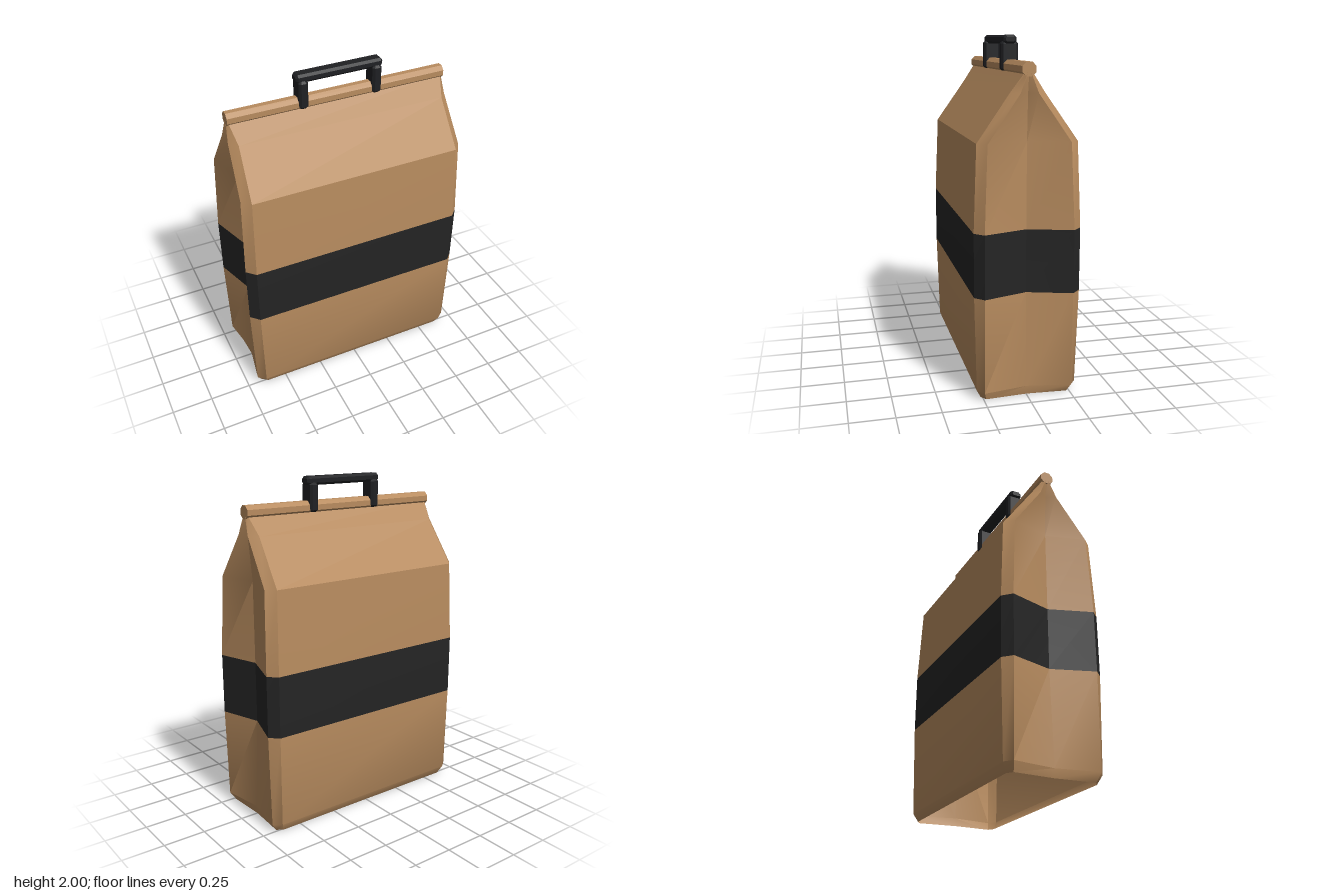
import * as THREE from 'three';
import { toCreasedNormals } from 'three/addons/utils/BufferGeometryUtils.js';

const paper = new THREE.MeshStandardMaterial({ color: 0xb88c5f, side: THREE.DoubleSide });
paper.name = 'kraft paper';
const bandBlack = new THREE.MeshStandardMaterial({ color: 0x242424, side: THREE.DoubleSide });
bandBlack.name = 'band black';
const handleBlack = new THREE.MeshStandardMaterial({ color: 0x1f2023 });
handleBlack.name = 'handle black';

// Bag levels: y, front corner x z, side corner x z, gusset crease x
const LEVELS = [
  [0.00, 0.62, 0.26, 0.655, 0.235, 0.64],
  [0.05, 0.64, 0.286, 0.687, 0.25, 0.645],
  [0.60, 0.65, 0.30, 0.70, 0.25, 0.62],
  [0.96, 0.65, 0.30, 0.70, 0.25, 0.62],
  [1.44, 0.637, 0.28, 0.685, 0.23, 0.62],
  [1.70, 0.625, 0.097, 0.67, 0.05, 0.635],
  [1.81, 0.65, 0.02, 0.66, 0.008, 0.655],
];
const BAND_ROW = 2;

// One closed outline with chamfered corners and folded-in sides
function outline([y, fx, fz, sx, sz, cx]) {
  const half = [[fx, fz], [sx, sz], [cx, 0], [sx, -sz], [fx, -fz]];
  return [...half, ...half.map(([x, z]) => [-x, -z])].map(([x, z]) => [x, y, z]);
}

function bagGeometry() {
  const rings = LEVELS.map(outline);
  const positions = [];
  const geometry = new THREE.BufferGeometry();
  for (let r = 0; r < rings.length - 1; r++) {
    const start = positions.length / 3;
    const low = rings[r], up = rings[r + 1], n = low.length;
    for (let i = 0; i < n; i++) {
      const j = (i + 1) % n;
      positions.push(...low[i], ...low[j], ...up[j], ...low[i], ...up[j], ...up[i]);
    }
    geometry.addGroup(start, positions.length / 3 - start, r === BAND_ROW ? 1 : 0);
  }
  geometry.setAttribute('position', new THREE.Float32BufferAttribute(positions, 3));
  return toCreasedNormals(geometry, 0.57);
}

// Bar along z with chamfered long edges and bevelled ends
function chamferedBar(width, height, length, chamfer) {
  const w = width / 2 - chamfer, h = height / 2 - chamfer, c = chamfer / 2;
  const shape = new THREE.Shape([
    [w - c, -h], [w, -h + c], [w, h - c], [w - c, h],
    [-w + c, h], [-w, h - c], [-w, -h + c], [-w + c, -h],
  ].map(([x, y]) => new THREE.Vector2(x, y)));
  const geometry = new THREE.ExtrudeGeometry(shape, {
    depth: length - 2 * chamfer, bevelEnabled: true,
    bevelSize: chamfer, bevelThickness: chamfer, bevelSegments: 1,
  });
  return geometry.translate(0, 0, chamfer - length / 2);
}

function addMesh(parent, name, geometry, material, x = 0, y = 0, z = 0) {
  const mesh = new THREE.Mesh(geometry, material);
  mesh.name = name;
  mesh.position.set(x, y, z);
  parent.add(mesh);
  return mesh;
}

export function createModel() {
  const model = new THREE.Group();
  model.name = 'paperBag';

  // Open-bottomed bag body with a dark band
  addMesh(model, 'bagBody', bagGeometry(), [paper, bandBlack]);

  // Rolled top edge: eight-sided rod along x
  const roll = new THREE.CylinderGeometry(0.041, 0.041, 1.32, 8).toNonIndexed();
  roll.rotateY(Math.PI / 8).rotateZ(Math.PI / 2);
  roll.computeVertexNormals();
  addMesh(model, 'rolledTop', roll, paper, 0, 1.825, 0);

  // Handle: two legs clamped over the roll, joined by a grip
  const handle = new THREE.Group();
  handle.name = 'handle';
  model.add(handle);
  for (const side of [-1, 1]) {
    const leg = chamferedBar(0.056, 0.1, 0.165, 0.012).rotateX(Math.PI / 2);
    addMesh(handle, side > 0 ? 'leftLeg' : 'rightLeg', leg, handleBlack, side * 0.222, 1.882, 0);
  }
  const grip = chamferedBar(0.074, 0.05, 0.52, 0.012).rotateY(Math.PI / 2);
  addMesh(handle, 'grip', grip, handleBlack, 0, 1.975, 0);

  return model;
}
